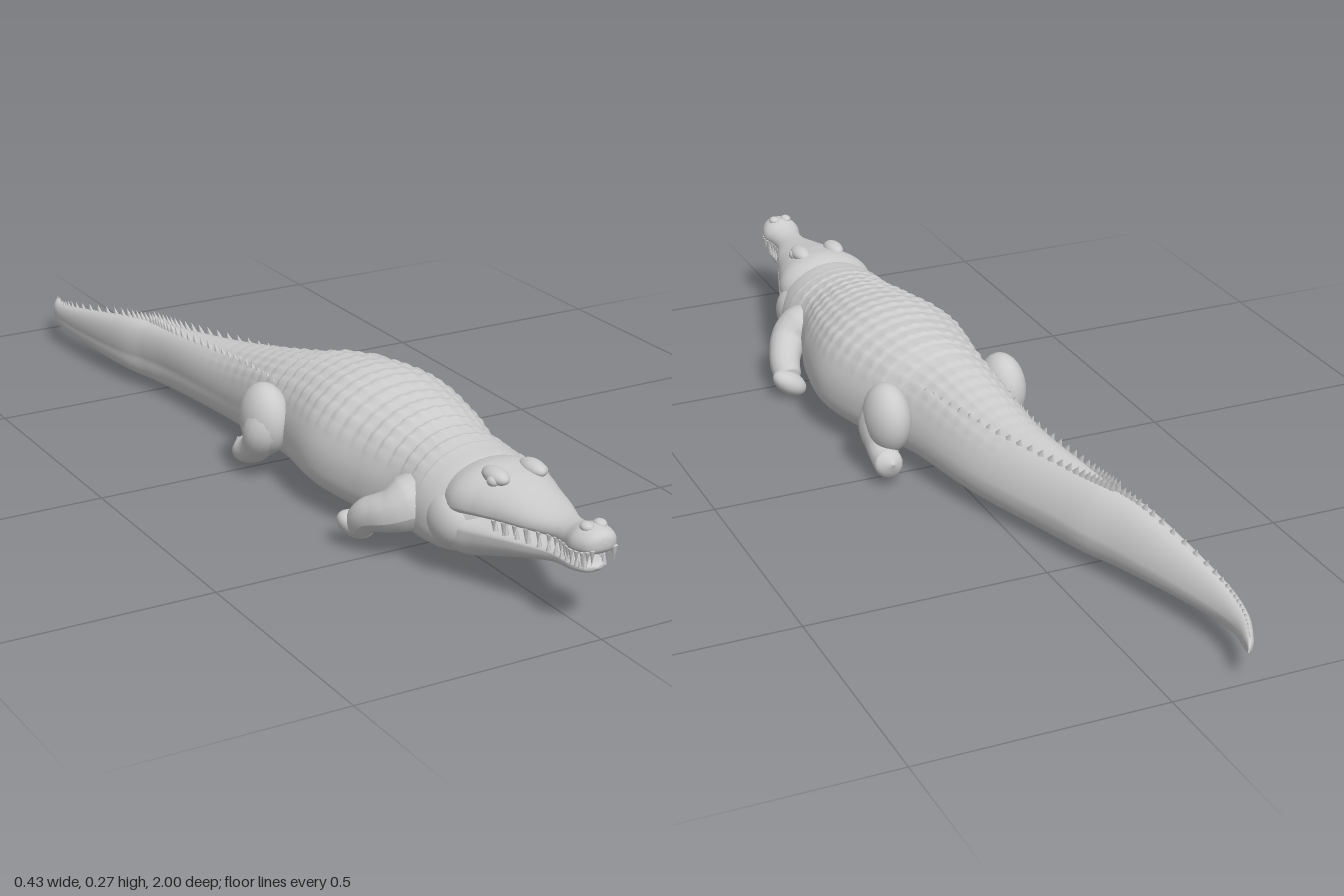
import * as THREE from 'three';
import { mergeGeometries } from 'three/addons/utils/BufferGeometryUtils.js';

const mat = new THREE.MeshStandardMaterial({ color: 0xcccccc, side: THREE.DoubleSide });

// Stations, tail to head: z, centre x, half width, bottom, top, widest height, lean of the top
const BODY = [
  [-1, -0.15, 0.002, 0.066, 0.075, 0.07, 0],
  [-0.97, -0.167, 0.01, 0.052, 0.085, 0.07, 0],
  [-0.9, -0.186, 0.018, 0.046, 0.096, 0.07, -0.004],
  [-0.8, -0.18, 0.026, 0.04, 0.115, 0.07, -0.01],
  [-0.6, -0.143, 0.045, 0.028, 0.15, 0.075, -0.016],
  [-0.5, -0.113, 0.05, 0.022, 0.16, 0.077, -0.02],
  [-0.4, -0.09, 0.057, 0.02, 0.168, 0.08, -0.02],
  [-0.2, -0.05, 0.085, 0.02, 0.19, 0.085, -0.015],
  [0, -0.028, 0.113, 0.024, 0.23, 0.1, -0.008],
  [0.1, -0.008, 0.142, 0.025, 0.253, 0.11, 0],
  [0.25, 0.002, 0.172, 0.022, 0.265, 0.11, 0],
  [0.4, 0.004, 0.15, 0.02, 0.25, 0.105, 0],
  [0.5, 0, 0.125, 0.028, 0.233, 0.11, 0],
  [0.58, 0, 0.13, 0.034, 0.225, 0.11, 0],
  [0.64, 0, 0.118, 0.04, 0.218, 0.11, 0],
  [0.7, 0, 0.08, 0.07, 0.195, 0.12, 0],
  [0.73, 0, 0.005, 0.13, 0.14, 0.135, 0],
];
const UPPER = [
  [0.58, 0, 0.08, 0.1, 0.2, 0.14, 0],
  [0.66, 0, 0.107, 0.13, 0.226, 0.155, 0],
  [0.72, 0, 0.092, 0.142, 0.223, 0.16, 0],
  [0.76, 0, 0.078, 0.147, 0.216, 0.163, 0],
  [0.82, 0, 0.06, 0.153, 0.204, 0.167, 0],
  [0.88, 0, 0.037, 0.157, 0.196, 0.17, 0],
  [0.92, 0, 0.035, 0.16, 0.199, 0.172, 0],
  [0.955, 0, 0.043, 0.16, 0.21, 0.176, 0],
  [0.985, 0, 0.034, 0.163, 0.207, 0.182, 0],
  [0.997, 0, 0.018, 0.172, 0.199, 0.186, 0],
  [1, 0, 0.001, 0.185, 0.187, 0.186, 0],
];
const LOWER = [
  [0.58, 0, 0.1, 0.06, 0.14, 0.1, 0],
  [0.66, 0, 0.11, 0.044, 0.15, 0.11, 0],
  [0.72, 0, 0.092, 0.06, 0.147, 0.115, 0],
  [0.8, 0, 0.066, 0.086, 0.143, 0.125, 0],
  [0.88, 0, 0.038, 0.108, 0.142, 0.13, 0],
  [0.94, 0, 0.034, 0.116, 0.142, 0.132, 0],
  [0.97, 0, 0.022, 0.122, 0.14, 0.133, 0],
  [0.98, 0, 0.001, 0.131, 0.134, 0.133, 0],
];

// Smooth values of the stations at position u (station index)
function stationAt(rows, u) {
  const n = rows.length - 1, i = Math.min(Math.floor(u), n - 1), t = u - i;
  const [a, b, c, d] = [i - 1, i, i + 1, i + 2].map(k => rows[Math.max(0, Math.min(n, k))]);
  return b.map((_, k) => 0.5 * (2 * b[k] + (c[k] - a[k]) * t + (2 * a[k] - 5 * b[k] + 4 * c[k] - d[k]) * t * t
    + (3 * b[k] - a[k] - 3 * c[k] + d[k]) * t ** 3));
}

// Point on the skin; the underside is flatter than the back
function skin(rows, u, ang, bump) {
  const [z, cx, hw, bot, top, mid, lean] = stationAt(rows, u);
  const c = Math.cos(ang), s = Math.sin(ang), up = s > 0;
  const b = bump ? 1 + bump(z, s, ang) : 1;
  const x = Math.sign(c) * Math.abs(c) ** (up ? 1 : 0.7) * hw * b + (up ? lean * s : 0);
  const y = up ? mid + (top - mid) * s * b : mid - (mid - bot) * Math.abs(s) ** 0.75;
  return new THREE.Vector3(cx + x, y, z);
}

function loft(rows, steps, around, bump) {
  const pos = [], idx = [], n = (rows.length - 1) * steps;
  for (let j = 0; j <= n; j++)
    for (let i = 0; i < around; i++)
      pos.push(...skin(rows, j / steps, i / around * Math.PI * 2, bump).toArray());
  for (let j = 0; j < n; j++)
    for (let i = 0; i < around; i++) {
      const a = j * around + i, b = j * around + (i + 1) % around;
      idx.push(a, b, a + around, b, b + around, a + around);
    }
  const g = new THREE.BufferGeometry();
  g.setAttribute('position', new THREE.Float32BufferAttribute(pos, 3));
  g.setIndex(idx);
  g.computeVertexNormals();
  return g;
}

// Overlapping rows of scutes on the back
function scutes(z, s, ang) {
  const fade = THREE.MathUtils.smoothstep(s, 0.35, 0.7) * THREE.MathUtils.smoothstep(z, -0.35, -0.1)
    * (1 - THREE.MathUtils.smoothstep(z, 0.52, 0.62));
  const saw = 1 - (((z / 0.036) % 1) + 1) % 1;
  return fade * 0.045 * saw * Math.abs(Math.sin(ang * 15));
}

// Tapered limb through points, with evenly spaced radii
function limb(points, radii) {
  const curve = new THREE.CatmullRomCurve3(points.map(p => new THREE.Vector3(...p)));
  const seg = 32, ring = 16, g = new THREE.TubeGeometry(curve, seg, 1, ring);
  const p = g.attributes.position, v = new THREE.Vector3();
  for (let i = 0; i < p.count; i++) {
    const t = Math.floor(i / (ring + 1)) / seg, f = t * (radii.length - 1);
    const k = Math.min(Math.floor(f), radii.length - 2);
    const c = curve.getPointAt(t);
    v.fromBufferAttribute(p, i).sub(c).multiplyScalar(THREE.MathUtils.lerp(radii[k], radii[k + 1], f - k)).add(c);
    p.setXYZ(i, v.x, v.y, v.z);
  }
  g.computeVertexNormals();
  return g;
}

function ball(x, y, z, rx, ry, rz) {
  return new THREE.SphereGeometry(1, 24, 16).scale(rx, ry, rz).translate(x, y, z);
}

// Row of thin, backward leaning spikes along the tail
function crest(u0, u1, count, angle, height) {
  const list = [];
  for (let i = 0; i < count; i++) {
    const t = i / (count - 1), u = u0 + (u1 - u0) * t, h = height(t);
    const p = skin(BODY, u, angle(t)), q = skin(BODY, u + 0.05, angle(t));
    const g = new THREE.ConeGeometry(1, 1, 4).translate(0, 0.5, 0).scale(0.005, h + 0.01, 0.016);
    g.applyMatrix4(new THREE.Matrix4().makeShear(0, 0, 0, -0.6, 0, 0));
    g.rotateY(Math.atan2(q.x - p.x, q.z - p.z));
    list.push(g.translate(p.x, p.y - 0.01, p.z));
  }
  return mergeGeometries(list);
}

// Teeth along the edge of a jaw
function teeth(rows, u0, u1, count, down) {
  const list = [];
  for (const side of [1, -1])
    for (let i = 0; i < count; i++) {
      const s = stationAt(rows, u0 + (u1 - u0) * i / (count - 1));
      const h = 0.02 + 0.009 * Math.abs(Math.sin(i * 1.7));
      const g = new THREE.ConeGeometry(0.005, h, 6);
      if (down) g.rotateX(Math.PI);
      list.push(g.translate(side * (s[2] * 0.93), down ? s[3] + 0.008 - h / 2 : s[4] - 0.008 + h / 2, s[0]));
    }
  return mergeGeometries(list);
}

export function createModel() {
  const model = new THREE.Group();
  const add = (name, geometry) => {
    const m = new THREE.Mesh(geometry, mat);
    m.name = name;
    model.add(m);
  };

  add('bodyAndTail', loft(BODY, 24, 96, scutes));

  // Head
  add('upperJaw', loft(UPPER, 8, 40));
  add('lowerJaw', loft(LOWER, 8, 40));
  add('upperTeeth', teeth(UPPER, 3, 8.6, 15, true));
  add('lowerTeeth', teeth(LOWER, 2.6, 6, 13, false));
  for (const s of [1, -1]) {
    const side = s > 0 ? 'left' : 'right';
    add(side + 'Brow', ball(s * 0.04, 0.218, 0.715, 0.02, 0.016, 0.036));
    add(side + 'Eye', ball(s * 0.052, 0.214, 0.725, 0.012, 0.011, 0.014));
    add(side + 'Nostril', ball(s * 0.014, 0.207, 0.962, 0.012, 0.009, 0.014));
    add(side + 'Jowl', ball(s * 0.085, 0.115, 0.635, 0.042, 0.055, 0.06));

    // Front leg: upper arm sweeping back to a flat foot; the right one is raised a little
    const lift = s > 0 ? 0 : 0.012;
    add(side + 'FrontLeg', limb([[s * 0.09, 0.12, 0.54], [s * 0.14, 0.1, 0.525], [s * 0.168, 0.07 + lift, 0.485],
      [s * 0.172, 0.04 + lift, 0.45], [s * 0.172, 0.035 + lift, 0.425]], [0.055, 0.055, 0.042, 0.036, 0.033, 0.03, 0]));
    add(side + 'FrontFoot', ball(0, 0, 0, 0.042, 0.025, 0.03).rotateZ(s * 0.6)
      .translate(s * 0.174, 0.035 + lift, 0.442));

    // Hind leg: round thigh and a shank curling back; the hips are turned with the tail
    const dx = s > 0 ? -0.042 : 0, dz = s > 0 ? -0.04 : 0;
    add(side + 'Thigh', ball(s * (0.16 + dx), 0.128, 0.055 + dz, 0.048, 0.075, 0.066));
    add(side + 'HindLeg', limb([[0.14, 0.15, 0.06], [0.17, 0.11, 0.07], [0.175, 0.068, 0.045], [0.178, 0.05, 0.005],
      [0.18, 0.062, -0.03]].map(([x, y, z]) => [s * (x + dx), y, z + dz]), [0.04, 0.05, 0.042, 0.034, 0.03, 0.03, 0]));
  }

  // Tail crests: two rows that meet and go on as one
  const spread = t => 0.75 * (1 - t) + 0.12;
  add('leftTailCrest', crest(8.2, 5, 26, t => Math.PI / 2 - spread(t), t => 0.006 + 0.016 * t));
  add('rightTailCrest', crest(8.2, 5, 26, t => Math.PI / 2 + spread(t), t => 0.006 + 0.016 * t));
  add('tailCrest', crest(4.9, 1, 26, () => Math.PI / 2, t => 0.018 - 0.014 * t));

  return model;
}
